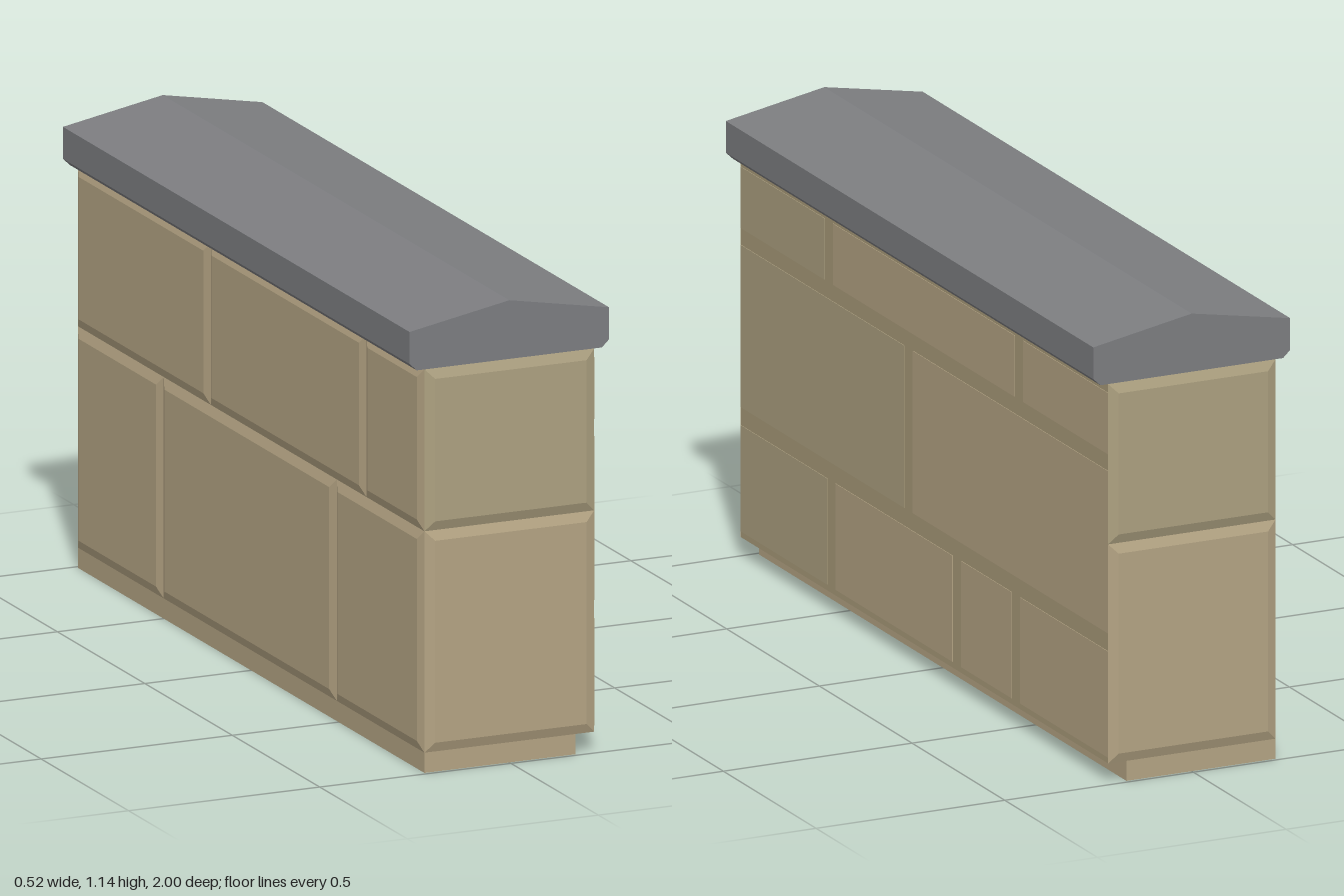
import * as THREE from 'three';

const mat = (color) => new THREE.MeshStandardMaterial({ color, flatShading: true, side: THREE.FrontSide });
const stone = [mat(0xb3a383), mat(0xaca080)];
const mortar = mat(0xa89a79);
const coping = mat(0x7c7d80);

const X = 0.222, Z = 0.991, BOTTOM = 0.05, SPLIT = 0.597, TOP = 0.997;
const BEVEL = 0.024, DEPTH = 0.009;

function box(name, x0, x1, y0, y1, z0, z1, material) {
  const mesh = new THREE.Mesh(new THREE.BoxGeometry(x1 - x0, y1 - y0, z1 - z0), material);
  mesh.position.set((x0 + x1) / 2, (y0 + y1) / 2, (z0 + z1) / 2);
  mesh.name = name;
  return mesh;
}

// Stone face in the XY plane whose outer face (+z) is inset to form bevelled edges
function bevelledFace(name, u0, u1, v0, v1, material) {
  const w = u1 - u0, h = v1 - v0;
  const geo = new THREE.BoxGeometry(w, h, DEPTH);
  geo.translate(0, 0, DEPTH / 2);
  const p = geo.attributes.position;
  for (let i = 0; i < p.count; i++) {
    if (p.getZ(i) < DEPTH / 2) continue;
    p.setX(i, p.getX(i) - Math.sign(p.getX(i)) * BEVEL);
    p.setY(i, p.getY(i) - Math.sign(p.getY(i)) * BEVEL);
  }
  geo.computeVertexNormals();
  const mesh = new THREE.Mesh(geo, material);
  mesh.position.set((u0 + u1) / 2, (v0 + v1) / 2, 0);
  mesh.name = name;
  return mesh;
}

export function createModel() {
  const wall = new THREE.Group();
  wall.name = 'wall';

  // Plinth, stepped back on the flat side, and the wall body
  wall.add(box('plinth', -X, 0.173, 0, BOTTOM, -Z, Z, stone[0]));
  wall.add(box('wallCore', -X, X - 0.001, BOTTOM, TOP, -Z, Z, mortar));

  // Two bevelled stones on each end
  for (const s of [1, -1]) {
    const end = new THREE.Group();
    end.name = s > 0 ? 'frontEnd' : 'backEnd';
    end.add(bevelledFace('lowerEndStone', -X, X, BOTTOM, SPLIT, stone[0]));
    end.add(bevelledFace('upperEndStone', -X, X, SPLIT, TOP, stone[1]));
    end.position.z = s * Z;
    end.rotation.y = s > 0 ? 0 : Math.PI;
    wall.add(end);
  }

  // Large bevelled stones on the -x side; local x runs along +z
  const side = new THREE.Group();
  side.name = 'bevelledSide';
  const courses = [
    { y0: BOTTOM, y1: SPLIT, cuts: [-Z, -0.5, 0.49, Z] },
    { y0: SPLIT, y1: TOP, cuts: [-Z, -0.23, 0.66, Z] },
  ];
  for (const { y0, y1, cuts } of courses)
    for (let i = 0; i < cuts.length - 1; i++)
      side.add(bevelledFace('sideStone', cuts[i], cuts[i + 1], y0, y1, stone[0]));
  side.position.x = -X;
  side.rotation.y = -Math.PI / 2;
  wall.add(side);

  // Flat brickwork on the +x side, mortar joints left between the bricks
  const flat = new THREE.Group();
  flat.name = 'flatBrickwork';
  const rows = [
    { y0: 0.065, y1: 0.33, joints: [-0.495, -0.175, 0.5] },
    { y0: 0.375, y1: 0.78, joints: [0.085] },
    { y0: 0.822, y1: 0.975, joints: [-0.51, 0.515] },
  ];
  const gap = 0.023;
  for (const { y0, y1, joints } of rows) {
    const cuts = [-Z - gap, ...joints, Z + gap];
    for (let i = 0; i < cuts.length - 1; i++) {
      const tone = stone[i === cuts.length - 2 ? 1 : 0];
      flat.add(box('brick', X - 0.001, X + 0.0005, y0, y1, cuts[i] + gap, cuts[i + 1] - gap, tone));
    }
  }
  wall.add(flat);

  // Ridged coping with chamfered lower edges
  const profile = new THREE.Shape([
    [-0.242, TOP], [0.242, TOP], [0.261, 1.015], [0.261, 1.094],
    [0, 1.142], [-0.261, 1.094], [-0.261, 1.015],
  ].map(([x, y]) => new THREE.Vector2(x, y)));
  const capGeo = new THREE.ExtrudeGeometry(profile, { depth: 2 * Z, bevelEnabled: false });
  capGeo.translate(0, 0, -Z);
  const cap = new THREE.Mesh(capGeo, coping);
  cap.name = 'coping';
  wall.add(cap);

  return wall;
}
